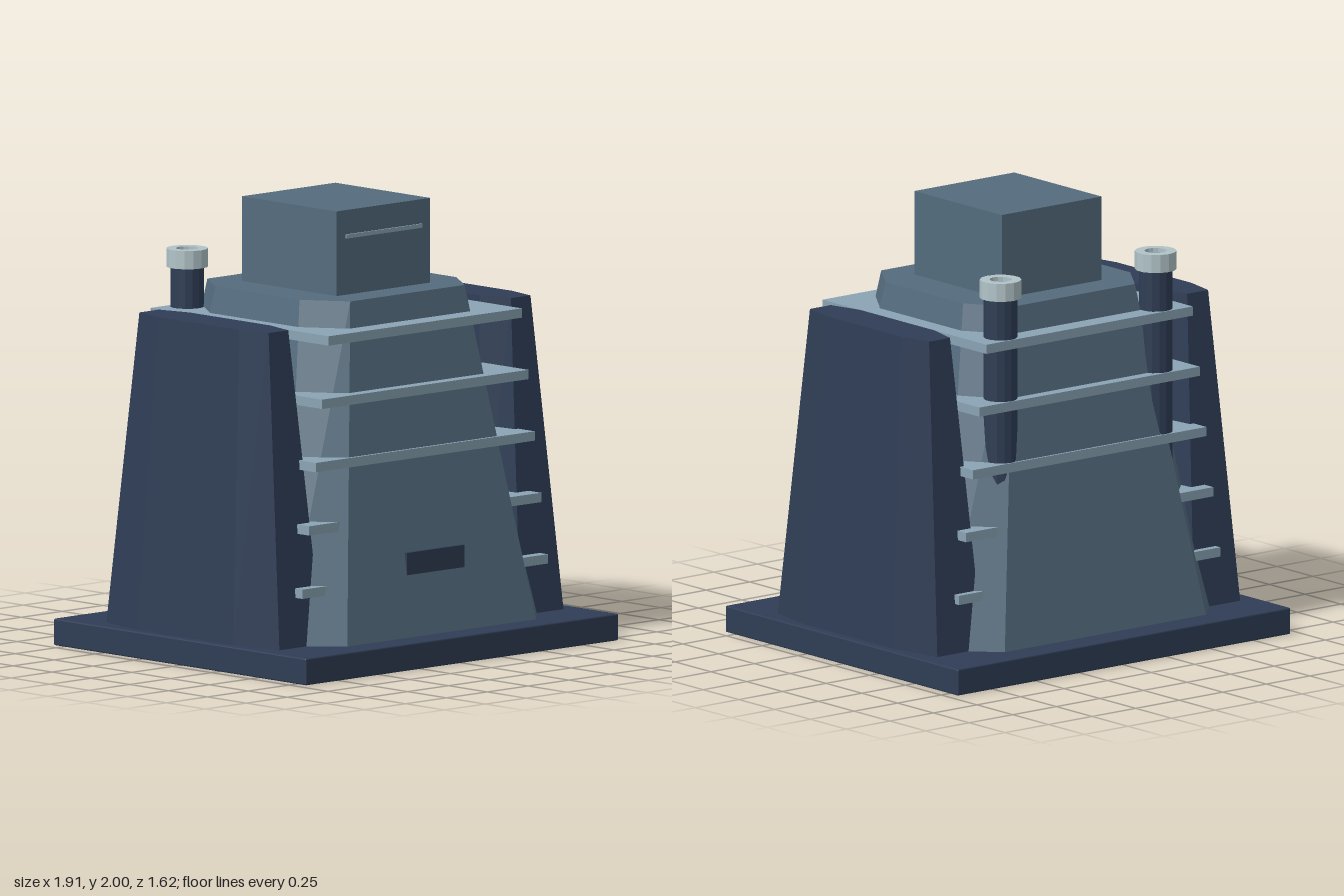
import * as THREE from 'three';
import { RoundedBoxGeometry } from 'three/addons/geometries/RoundedBoxGeometry.js';

const mat = (name, color) => Object.assign(new THREE.MeshStandardMaterial({ color, flatShading: true }), { name });

// Flat-sided solid between two convex outlines of [x, z] points,
// listed counter-clockwise as seen from above.
function loft(low, y0, high, y1) {
  const n = low.length, pos = [];
  const a = (i) => [low[i % n][0], y0, low[i % n][1]];
  const b = (i) => [high[i % n][0], y1, high[i % n][1]];
  for (let i = 0; i < n; i++) {
    pos.push(...a(i), ...a(i + 1), ...b(i + 1), ...a(i), ...b(i + 1), ...b(i));
    if (i > 0 && i < n - 1) {
      pos.push(...b(0), ...b(i), ...b(i + 1), ...a(0), ...a(i + 1), ...a(i));
    }
  }
  const g = new THREE.BufferGeometry();
  g.setAttribute('position', new THREE.Float32BufferAttribute(pos, 3));
  g.computeVertexNormals();
  return g;
}

// Rectangle with cut corners: half sizes x, z and the flat half lengths fx, fz
const octagon = (x, z, fx, fz) => [
  [-fx, z], [fx, z], [x, fz], [x, -fz], [fx, -z], [-fx, -z], [-x, -fz], [-x, fz],
];

// Outline of a side panel on +x, bowed on both its inner and outer face
const panelOutline = (inEnd, inMid, outEnd, outMid, zEnd, zMid, zOff) => [
  [inMid, zMid], [inEnd, zEnd], [outEnd, zEnd], [outMid, zMid],
  [outMid, -zMid], [outEnd, -zEnd], [inEnd, -zEnd], [inMid, -zMid],
].map(([x, z]) => [x, z + zOff]);

export function createModel() {
  const model = new THREE.Group();
  const navy = mat('navy', 0x2f3d55);
  const slate = mat('slate', 0x546c7e);
  const steel = mat('steel', 0x8aa4b4);
  const pale = mat('pale grey', 0xb2c4c8);

  const add = (name, geometry, material, x = 0, y = 0, z = 0) => {
    const mesh = new THREE.Mesh(geometry, material);
    mesh.name = name;
    mesh.position.set(x, y, z);
    model.add(mesh);
    return mesh;
  };
  const box = (name, w, h, d, material, x, y, z) =>
    add(name, new THREE.BoxGeometry(w, h, d), material, x, y, z);

  // Base slab with a slight bevel
  add('base', new RoundedBoxGeometry(1.912, 0.12, 1.624, 1, 0.006), navy, 0, 0.06, 0);

  // Tapered tower body and the block on top
  add('body', loft(octagon(0.77, 0.68, 0.577, 0.485), 0.12, octagon(0.48, 0.46, 0.35, 0.27), 1.62), slate);
  box('head', 0.573, 0.38, 0.61, slate, 0, 1.81, 0);
  box('headSlit', 0.465, 0.018, 0.009, steel, 0, 1.882, 0.309);
  box('frontHatch', 0.35, 0.1, 0.06, navy, 0, 0.443, 0.612);

  // Horizontal fins, wider towards the ground
  [0.75, 0.71, 0.67, 0.632, 0.592].forEach((halfWidth, i) => {
    box('fin' + (i + 1), halfWidth * 2, 0.042, 1.145, steel, 0, 0.361 + i * 0.28, 0.002);
  });

  // Leaning side panels
  const panel = loft(
    panelOutline(0.605, 0.575, 0.87, 0.918, 0.557, 0.31, -0.008), 0.12,
    panelOutline(0.68, 0.64, 0.80, 0.832, 0.416, 0.26, -0.006), 1.52,
  );
  add('leftPanel', panel, navy);
  add('rightPanel', panel, navy).rotation.y = Math.PI;
  model.getObjectByName('rightPanel').position.z = -0.014;

  // Exhaust stacks at the back, each with a hollow collar
  const collar = new THREE.LatheGeometry(
    [[0.05, 0], [0.093, 0], [0.093, 0.082], [0.05, 0.082], [0.05, 0]].map((p) => new THREE.Vector2(...p)), 14);
  for (const [side, x] of [['left', 0.445], ['right', -0.445]]) {
    add(side + 'Stack', new THREE.CylinderGeometry(0.075, 0.075, 1.0, 14), navy, x, 1.2, -0.49);
    add(side + 'StackCollar', collar, pale, x, 1.682, -0.49);
    add(side + 'StackMouth', new THREE.CylinderGeometry(0.05, 0.05, 0.05, 14), steel, x, 1.72, -0.49);
  }
  return model;
}
